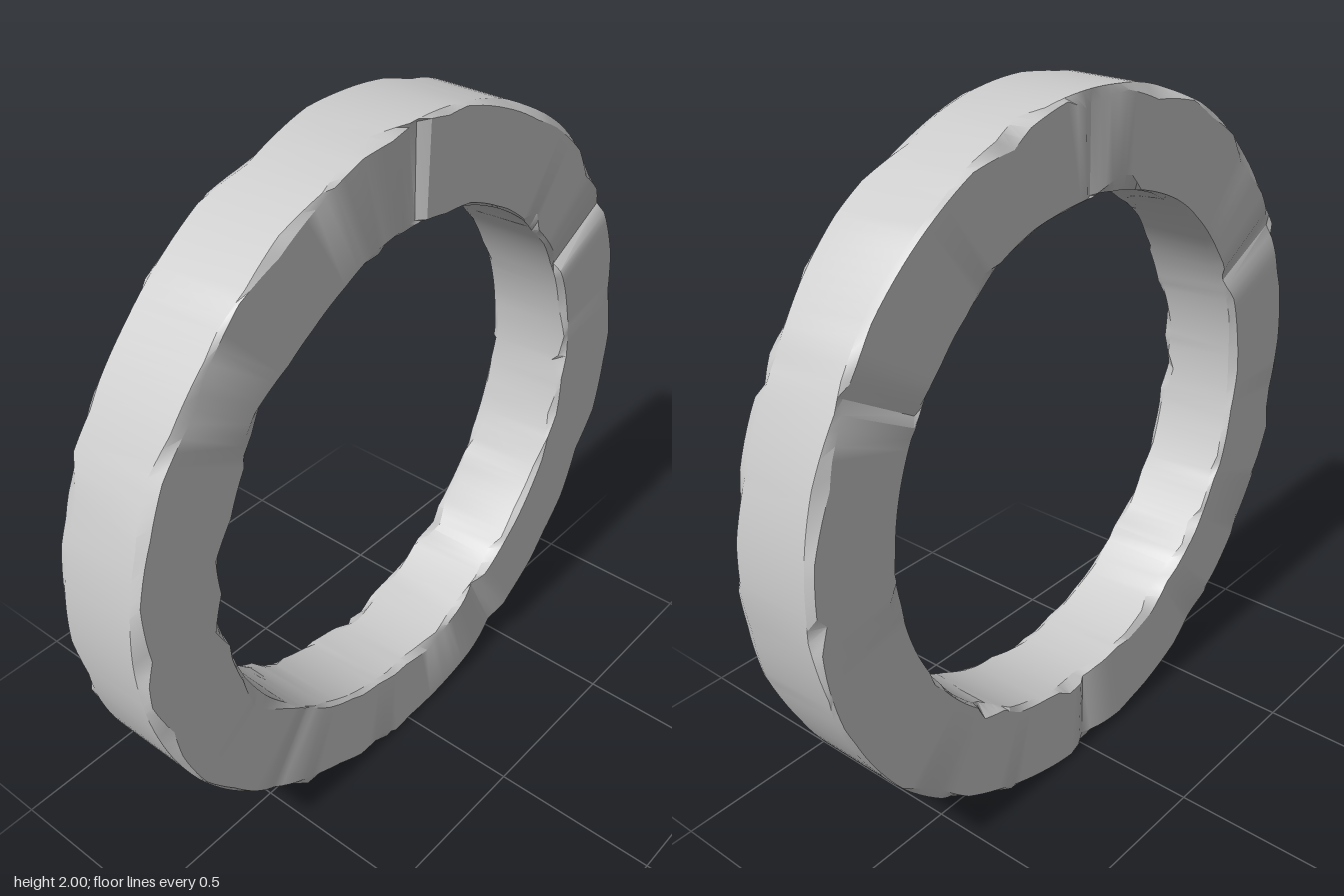
import * as THREE from 'three';
import { toCreasedNormals } from 'three/addons/utils/BufferGeometryUtils.js';

const OUTER = 1, INNER = 0.73, HALF = 0.135, SEGMENTS = 180;

// Small seeded random generator
function seeded(seed) {
  return () => {
    seed = (seed * 16807) % 2147483647;
    return seed / 2147483647;
  };
}

// Jagged chip sizes around one edge: random kinks joined by straight runs
function chipSizes(seed, base, big) {
  const rand = seeded(seed);
  for (let i = 0; i < 5; i++) rand();
  const sizes = new Array(SEGMENTS);
  let i = 0, from = base;
  const first = from;
  while (i < SEGMENTS) {
    const run = Math.min(2 + Math.floor(rand() * 4), SEGMENTS - i);
    const size = rand() < 0.2 ? big * (0.6 + 0.4 * rand()) : base * (0.1 + 1.2 * rand());
    const to = i + run >= SEGMENTS ? first : size;
    for (let k = 0; k < run; k++) sizes[i + k] = from + (to - from) * k / run;
    from = to;
    i += run;
  }
  return sizes;
}

// Cracks: [angle, depth, fade clockwise, fade anticlockwise], in degrees
const frontCracks = [[90, 0.018, 1, 12], [28, 0.022, 3, 9], [-63, 0.022, 10, 3], [232, 0.006, 4, 6]];
const backCracks = [[90, 0.012, 2, 8], [153, 0.025, 4, 8], [-90, 0.015, 8, 2], [30, 0.012, 3, 6]];

function crackDepth(cracks, degrees) {
  let depth = 0;
  for (const [angle, deep, before, after] of cracks) {
    const d = ((degrees - angle + 540) % 360) - 180;
    const fade = 1 - Math.abs(d) / (d < 0 ? before : after);
    if (fade > 0) depth = Math.max(depth, deep * fade * fade);
  }
  return depth;
}

function ringGeometry() {
  // Radial (a) and axial (b) chip sizes for the four worn edges
  const edges = [11, 237, 4051, 7873].map((seed) => ({
    a: chipSizes(seed * 31, 0.014, 0.042),
    b: chipSizes(seed * 57, 0.018, 0.045),
  }));

  // Eight-point cross-section at each step: two points per worn edge
  const section = (i) => {
    const t = i / SEGMENTS * Math.PI * 2;
    const degrees = i / SEGMENTS * 360;
    const front = HALF - crackDepth(frontCracks, degrees);
    const back = -HALF + crackDepth(backCracks, degrees);
    const [of, ob, ib, inf] = edges.map((e) => [e.a[i], e.b[i]]);
    return [
      [OUTER - of[0], front], [OUTER, HALF - 0.002 - of[1]],
      [OUTER, -HALF + 0.002 + ob[1]], [OUTER - ob[0], back],
      [INNER + ib[0], back], [INNER, -HALF + 0.002 + ib[1]],
      [INNER, HALF - 0.002 - inf[1]], [INNER + inf[0], front],
    ].map(([r, z]) => [r * Math.cos(t), 1 + r * Math.sin(t), z]);
  };

  const positions = [], indices = [];
  for (let i = 0; i < SEGMENTS; i++) {
    section(i).forEach((p) => positions.push(...p));
    const next = (i + 1) % SEGMENTS;
    for (let k = 0; k < 8; k++) {
      const k2 = (k + 1) % 8;
      const a = i * 8 + k, b = i * 8 + k2, c = next * 8 + k2, d = next * 8 + k;
      indices.push(a, b, c, a, c, d);
    }
  }
  const geometry = new THREE.BufferGeometry();
  geometry.setAttribute('position', new THREE.Float32BufferAttribute(positions, 3));
  geometry.setIndex(indices);
  return toCreasedNormals(geometry, 0.45);
}

export function createModel() {
  const group = new THREE.Group();
  group.name = 'weatheredRing';
  const ring = new THREE.Mesh(ringGeometry(), new THREE.MeshStandardMaterial({ color: 0xcccccc }));
  ring.name = 'stoneRing';
  group.add(ring);
  return group;
}
